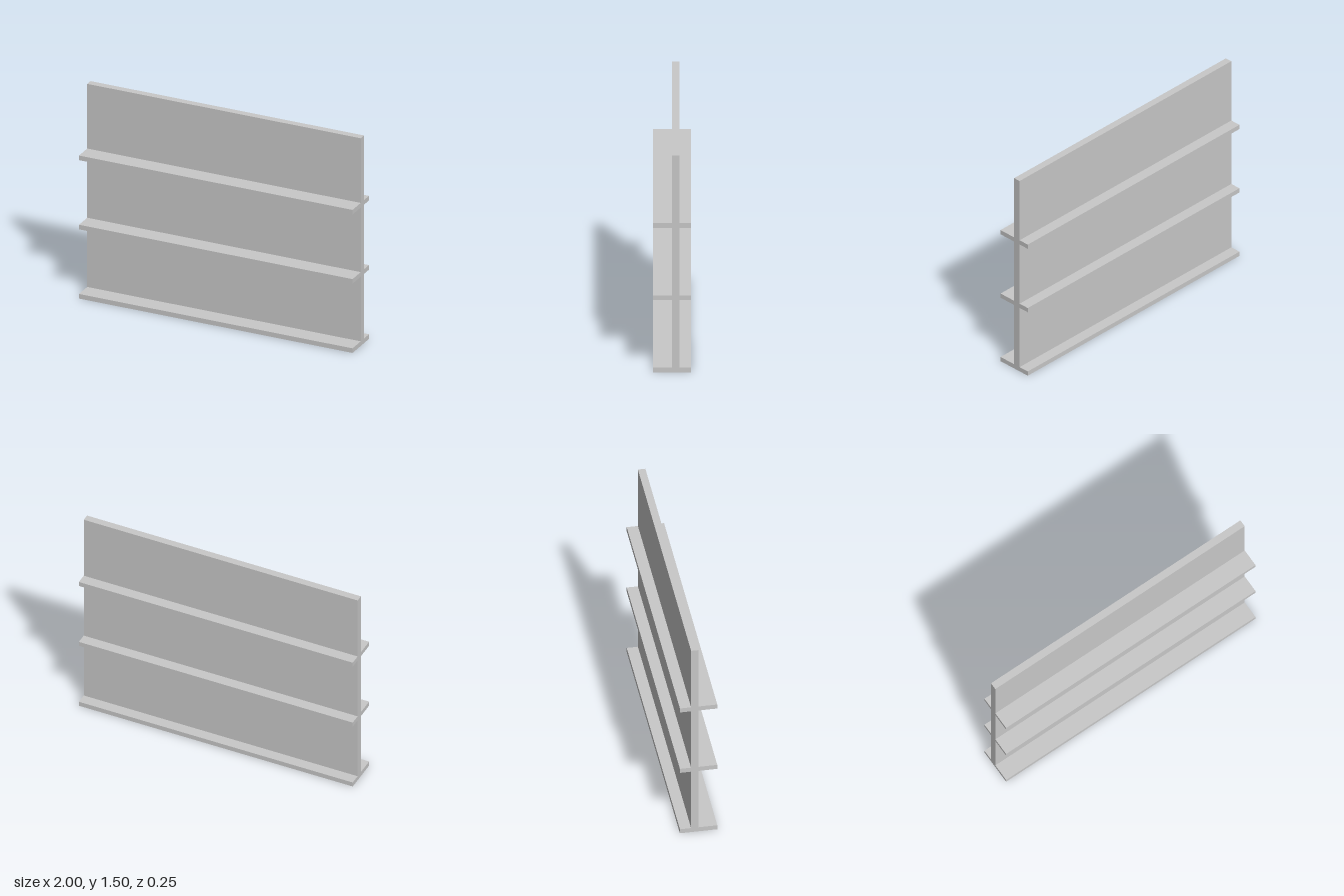
import * as THREE from 'three';

const LENGTH = 2, HEIGHT = 1.5;
const SHELF_DEPTH = 0.25, SHELF_THICK = 0.033, SHELF_STEP = 0.5;
const PANEL_THICK = 0.05;

export function createModel() {
  const model = new THREE.Group();
  model.name = 'shelfWall';
  const lightGrey = new THREE.MeshStandardMaterial({ color: 0xc8c8c8 });
  lightGrey.name = 'lightGrey';

  // Full-length board standing on height y
  const addBoard = (name, y, height, depth, z) => {
    const board = new THREE.Mesh(new THREE.BoxGeometry(LENGTH, height, depth), lightGrey);
    board.name = name;
    board.position.set(0, y + height / 2, z);
    model.add(board);
  };

  // Each tier: a shelf on both sides, with a wall panel up to the next shelf.
  // The panel's front face lies on z = 0, so the front ledge is deeper.
  for (let i = 0; i < HEIGHT / SHELF_STEP; i++) {
    const y = i * SHELF_STEP;
    addBoard(`shelf${i + 1}`, y, SHELF_THICK, SHELF_DEPTH, 0);
    addBoard(`wallPanel${i + 1}`, y + SHELF_THICK, SHELF_STEP - SHELF_THICK, PANEL_THICK, -PANEL_THICK / 2);
  }
  return model;
}
